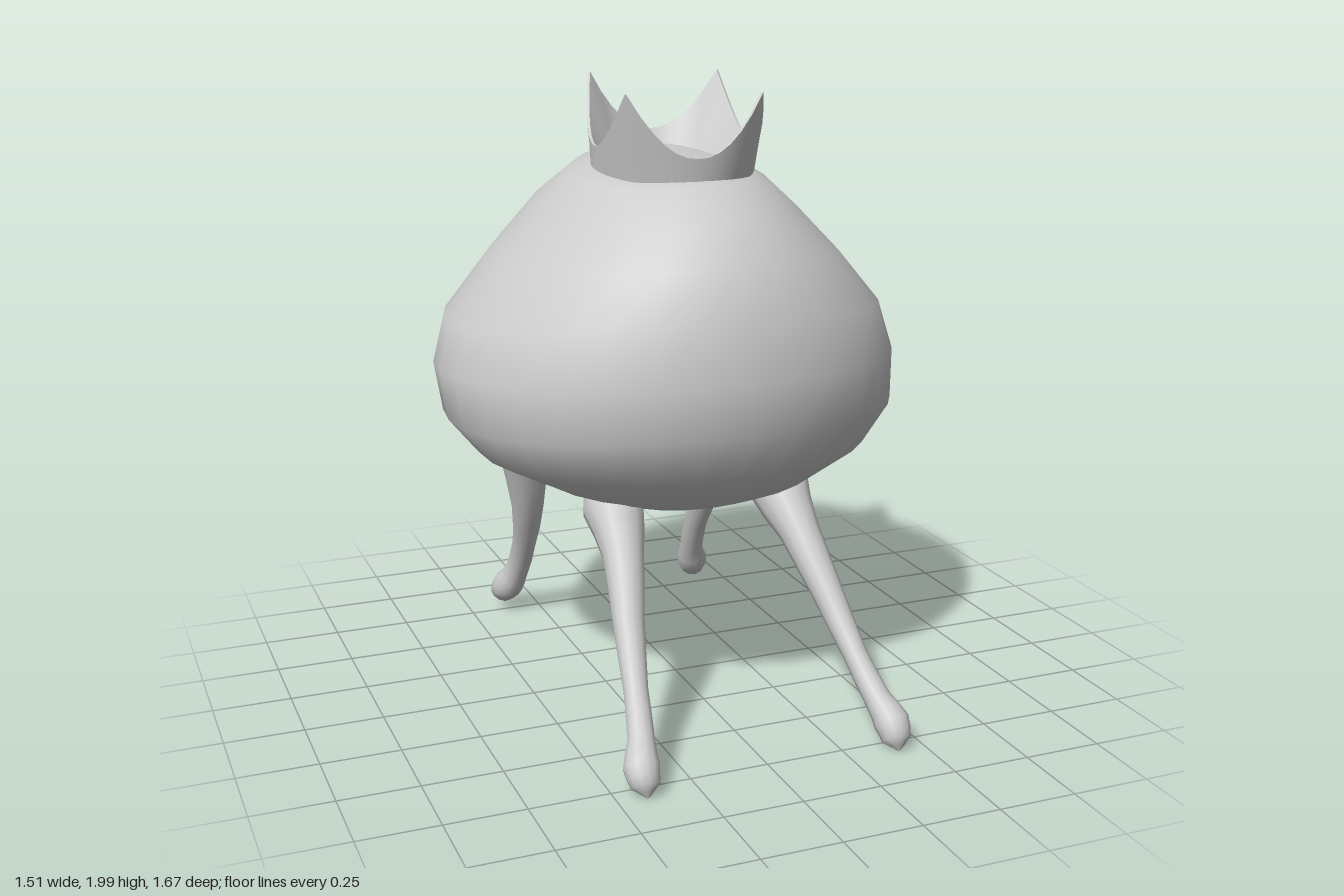
import * as THREE from 'three';
import { toCreasedNormals } from 'three/addons/utils/BufferGeometryUtils.js';

// Skin a list of closed rings (each an array of Vector3 of equal length).
function loft(rings) {
  const n = rings[0].length, pos = [], idx = [];
  rings.forEach(r => r.forEach(p => pos.push(p.x, p.y, p.z)));
  for (let i = 0; i < rings.length - 1; i++) {
    for (let j = 0; j < n; j++) {
      const k = (j + 1) % n, a = i * n + j, b = a + n, c = i * n + k, d = c + n;
      idx.push(a, b, c, c, b, d);
    }
  }
  const g = new THREE.BufferGeometry();
  g.setAttribute('position', new THREE.Float32BufferAttribute(pos, 3));
  g.setIndex(idx);
  g.computeVertexNormals();
  return g;
}

const around = (n, fn) => Array.from({ length: n }, (_, j) => fn((j / n) * Math.PI * 2));

// Domed shell, open underneath, arched at the back between two drooping corners.
function bodyGeometry() {
  // front y, side y, back y, half width, front z, back z, droop of the back corners
  const rows = [
    [1.72, 1.72, 1.72, 0.002, -0.02, -0.03, 0],
    [1.71, 1.72, 1.77, 0.22, 0.2, -0.25, 0],
    [1.69, 1.685, 1.745, 0.31, 0.28, -0.42, 0],
    [1.6, 1.59, 1.64, 0.41, 0.41, -0.6, 0],
    [1.48, 1.43, 1.46, 0.56, 0.51, -0.74, 0],
    [1.33, 1.25, 1.26, 0.71, 0.58, -0.83, 0],
    [1.15, 1.1, 1.13, 0.755, 0.61, -0.81, 0],
    [0.99, 0.95, 1.01, 0.74, 0.6, -0.72, 0.01],
    [0.84, 0.84, 0.93, 0.65, 0.53, -0.63, 0.06],
    [0.73, 0.78, 0.91, 0.5, 0.42, -0.56, 0.09],
    [0.68, 0.775, 0.97, 0.42, 0.3, -0.5, 0.11],
    [0.69, 0.82, 1.08, 0.37, 0.03, -0.44, 0.09],
  ];
  return loft(rows.map(([yf, ys, yb, rx, zf, zb, droop]) => around(32, t => {
    const c = Math.cos(t);
    const corner = c < 0 ? Math.sin(2 * t) ** 2 : 0;
    return new THREE.Vector3(
      rx * Math.sin(t),
      ys + c * (yf - yb) / 2 + c * c * ((yf + yb) / 2 - ys) - droop * corner,
      (zf + zb) / 2 + c * (zf - zb) / 2);
  })));
}

// Tapered limb along a smooth path of [x, y, z, radius], root first.
function legGeometry(points, side) {
  const curve = new THREE.CatmullRomCurve3(
    points.map(p => new THREE.Vector3(side * p[0], p[1], p[2])));
  const steps = (points.length - 1) * 2, rings = [];
  for (let i = 0; i <= steps; i++) {
    const u = i / steps, f = u * (points.length - 1), k = Math.min(Math.floor(f), points.length - 2);
    const r = THREE.MathUtils.lerp(points[k][3], points[k + 1][3], f - k);
    const p = curve.getPoint(u), t = curve.getTangent(u);
    const s = new THREE.Vector3(1, 0, 0).addScaledVector(t, -t.x).normalize();
    const fwd = new THREE.Vector3().crossVectors(t, s);
    rings.push(around(12, a => p.clone()
      .addScaledVector(s, r * Math.sin(a)).addScaledVector(fwd, r * Math.cos(a))));
  }
  return loft(rings);
}

// Thin crown wall with four flared points, turned slightly about its axis.
function crownGeometry() {
  const ring = (inset, top) => around(48, t => {
    const a = t - 0.08, c = Math.cos(a), back = (1 - c) / 2;
    const q = Math.PI / 2, m = t % q;
    const tip = 1 - Math.abs(m - q / 2) / (q / 2);
    const valley = 1.77 + 0.04 * back, peak = 1.955 + 0.052 * back;
    const y = top ? valley + (peak - valley) * Math.pow(tip, 2.2) : 1.685 + 0.065 * back;
    const r = (top ? 0.26 + 0.05 * tip * tip : 0.258) - inset;
    return new THREE.Vector3(r * Math.sin(a), y, -0.015 - (top ? 0 : 0.01) + r * c);
  });
  return toCreasedNormals(loft([ring(0.06, false), ring(0.009, true), ring(0, true), ring(0, false)]), 0.8);
}

export function createModel() {
  const model = new THREE.Group();
  model.name = 'crownedWalker';
  const grey = new THREE.MeshStandardMaterial({ color: 0xcccccc, side: THREE.DoubleSide });
  grey.name = 'plain grey';
  const add = (name, geometry) => {
    const mesh = new THREE.Mesh(geometry, grey);
    mesh.name = name;
    model.add(mesh);
  };

  add('body', bodyGeometry());
  add('crown', crownGeometry());

  // Legs, mirrored left and right
  const front = [
    [0.3, 0.8, 0.09, 0.05], [0.285, 0.69, 0.19, 0.1], [0.3, 0.575, 0.32, 0.066],
    [0.335, 0.41, 0.46, 0.05], [0.365, 0.25, 0.6, 0.038], [0.39, 0.14, 0.71, 0.042],
    [0.41, 0.085, 0.765, 0.056], [0.41, 0.042, 0.8, 0.045], [0.41, 0.012, 0.82, 0.003],
  ];
  const rear = [
    [0.38, 0.95, -0.42, 0.05], [0.38, 0.82, -0.465, 0.11], [0.365, 0.66, -0.5, 0.083],
    [0.345, 0.48, -0.545, 0.058], [0.335, 0.3, -0.635, 0.042], [0.345, 0.17, -0.705, 0.042],
    [0.365, 0.11, -0.745, 0.056], [0.38, 0.07, -0.78, 0.045], [0.385, 0.05, -0.795, 0.003],
  ];
  for (const [label, side] of [['Left', 1], ['Right', -1]]) {
    add('front' + label + 'Leg', legGeometry(front, side));
    add('rear' + label + 'Leg', legGeometry(rear, side));
  }
  return model;
}
